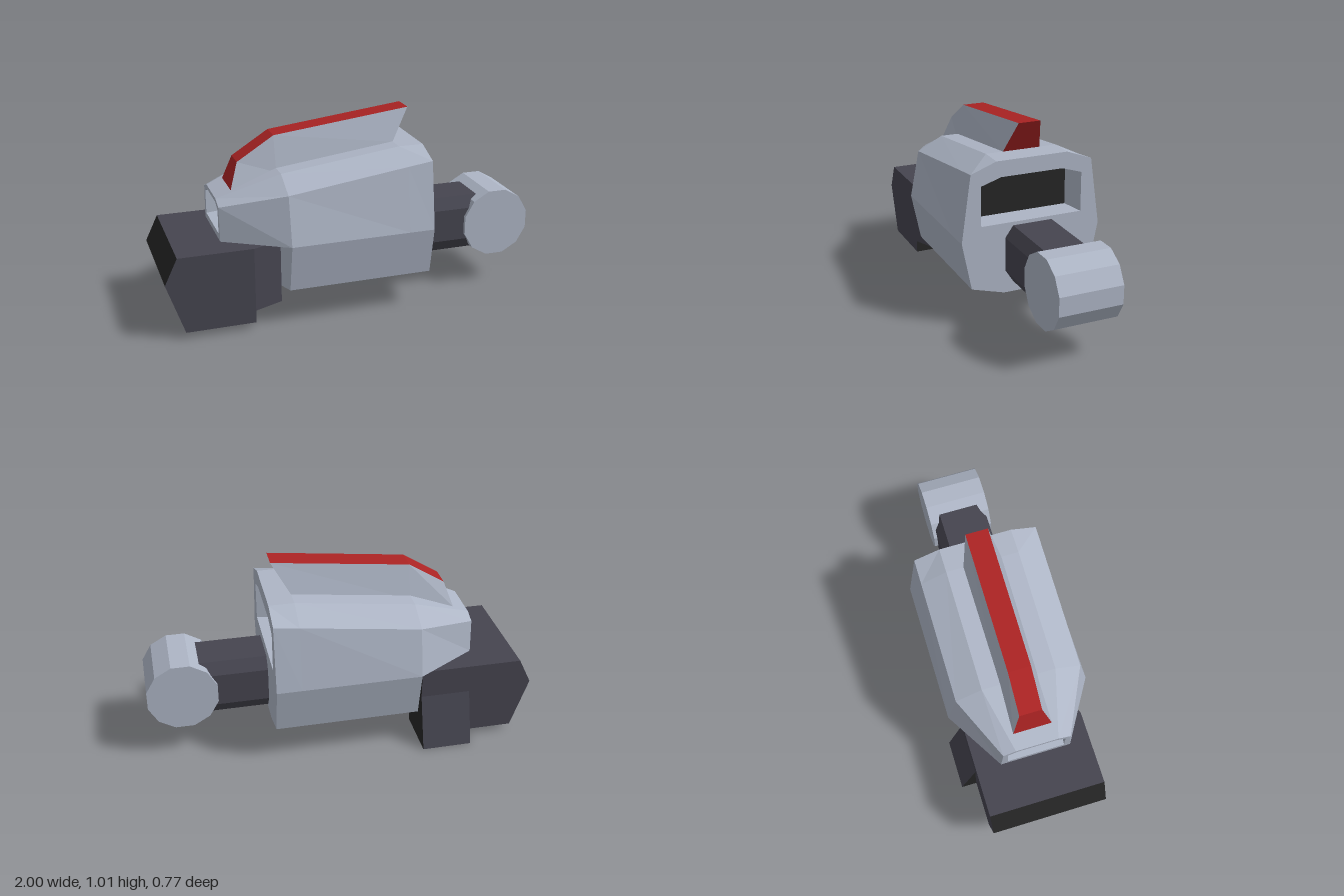
import * as THREE from 'three';

const mat = (name, color) => {
  const m = new THREE.MeshStandardMaterial({ color, side: THREE.DoubleSide });
  m.name = name;
  return m;
};

// Skin a list of rings with flat faces; slots gives a material index per ring edge,
// caps = [first, last] material index or null for an open end
function loft(name, rings, material, { slots = [], caps = [0, 0], closed = true } = {}) {
  const pos = [], geo = new THREE.BufferGeometry();
  const n = rings[0].length;
  const face = (pts, slot) => {
    const start = pos.length / 3;
    for (let i = 1; i < pts.length - 1; i++) pos.push(...pts[0], ...pts[i], ...pts[i + 1]);
    geo.addGroup(start, pos.length / 3 - start, slot);
  };
  for (let r = 0; r < rings.length - 1; r++) {
    const a = rings[r], b = rings[r + 1];
    for (let j = 0; j < (closed ? n : n - 1); j++) {
      const k = (j + 1) % n;
      face([a[j], a[k], b[k], b[j]], slots[j] ?? 0);
    }
  }
  if (caps[0] !== null) face([...rings[0]].reverse(), caps[0]);
  if (caps[1] !== null) face(rings[rings.length - 1], caps[1]);
  geo.setAttribute('position', new THREE.Float32BufferAttribute(pos, 3));
  geo.computeVertexNormals();
  const mesh = new THREE.Mesh(geo, material);
  mesh.name = name;
  return mesh;
}

// Mirror a half section of [z, y] (top to bottom) into a full ring at x
const ZC = 0.01;
const mirror = half => [...half, ...[...half].reverse().map(([z, y]) => [-z, y])];
const ringAt = (x, half) => mirror(half).map(([z, y]) => [x, y, z + ZC]);

// Flat end plate with an opening, facing +x (dir 1) or -x (dir -1)
function frame(name, x, outer, hole, dir, material) {
  const v = half => mirror(half).map(([z, y]) => new THREE.Vector2(z, y));
  const shape = new THREE.Shape(v(outer));
  shape.holes.push(new THREE.Path(v(hole)));
  const mesh = new THREE.Mesh(new THREE.ShapeGeometry(shape), material);
  mesh.rotation.y = dir * Math.PI / 2;
  mesh.position.set(x, 0, ZC);
  mesh.name = name;
  return mesh;
}

export function createModel() {
  const grey = mat('blueGrey', 0xadb5c5);
  const charcoal = mat('charcoal', 0x45444f);
  const black = mat('black', 0x262626);
  const red = mat('red', 0xaa2323);
  const g = new THREE.Group();
  g.name = 'model';

  // Main hull
  const hullHalf = (top, side) =>
    [[0.19, top], [0.325, side], [0.375, 0.45], [0.325, 0.2], [0.15, 0.15]];
  const rearHalf = hullHalf(0.85, 0.8);
  g.add(loft('hull', [
    ringAt(-0.385, hullHalf(0.77, 0.7)),
    ringAt(0.235, hullHalf(0.85, 0.783)),
    ringAt(0.365, rearHalf),
  ], grey, { caps: [null, null] }));
  g.add(loft('hullLowerFront', [
    ringAt(-0.385, rearHalf.slice(2)), ringAt(-0.38, rearHalf.slice(2)),
  ], grey, { caps: [0, null] }));

  // Tapered nose
  const noseHalf = [[0.11, 0.65], [0.175, 0.625], [0.185, 0.45]];
  g.add(loft('nose', [
    ringAt(-0.7, noseHalf),
    ringAt(-0.385, [[0.19, 0.77], [0.325, 0.7], [0.375, 0.45]]),
  ], grey, { caps: [null, null] }));

  // Tunnel through the hull, blocked by a dark core
  const front = [[0.095, 0.63], [0.15, 0.605], [0.15, 0.48]];
  const rear = [[0.165, 0.767], [0.272, 0.733], [0.272, 0.525]];
  const tunnelAt = x => {
    const t = (x + 0.7) / 1.065;
    return ringAt(x, front.map((p, i) => p.map((c, j) => c + (rear[i][j] - c) * t)));
  };
  g.add(frame('rearFrame', 0.365, rearHalf, rear, 1, grey));
  g.add(frame('noseFrame', -0.7, noseHalf, front, -1, grey));
  g.add(loft('tunnel', [tunnelAt(-0.7), tunnelAt(0.365)], grey, { caps: [null, null] }));
  g.add(loft('tunnelCore', [tunnelAt(-0.6), tunnelAt(0.22)], black));

  // Top fin: grey flanks with a red crest, front and back
  const finRing = (tx, ty, bx, by) => [
    [tx, ty, ZC + 0.058], [bx, by, ZC + 0.1], [bx, by, ZC - 0.1], [tx, ty, ZC - 0.058]];
  g.add(loft('fin', [
    finRing(-0.575, 0.81, -0.62, 0.68),
    finRing(-0.385, 0.93, -0.385, 0.75),
    finRing(0.33, 1.015, 0.235, 0.848),
  ], [grey, red], { slots: [0, 0, 0, 1], caps: [1, 1] }));

  // Arm and drum at the +x end
  const arm = [[0.105, 0.51], [0.147, 0.45], [0.147, 0.275], [0.105, 0.21]];
  g.add(loft('arm', [ringAt(0.373, arm), ringAt(0.72, arm)], charcoal));
  const drumGeo = new THREE.CylinderGeometry(0.187, 0.187, 0.33, 12).toNonIndexed();
  drumGeo.rotateY(Math.PI / 12).rotateX(Math.PI / 2);
  drumGeo.computeVertexNormals();
  const drum = new THREE.Mesh(drumGeo, grey);
  drum.name = 'drum';
  drum.position.set(0.817, 0.355, ZC);
  g.add(drum);

  // Foot block under the nose
  const profile = [[-1, 0.3], [-0.91, 0.035], [-0.555, 0.035], [-0.555, 0.435], [-0.935, 0.435]];
  g.add(loft('footBlock', [-0.305, 0.302].map(z => profile.map(([x, y]) => [x, y, z])),
    [charcoal, black], { slots: [0, 0, 1, 0, 1] }));
  const rect = (x, z1, z0, y1, y0) => [[x, y1, z1], [x, y0, z1], [x, y0, z0], [x, y1, z0]];
  g.add(loft('footBlockRear', [
    rect(-0.555, 0.302, -0.305, 0.435, 0.1), rect(-0.405, 0.238, -0.305, 0.435, 0.1),
  ], [charcoal, black], { slots: [0, 1, 0, 0], caps: [null, 1] }));

  // Splayed heel on the -z side
  g.add(loft('heel', [-0.665, -0.405].map(x =>
    [[x, 0.3, -0.1], [x, 0, -0.1], [x, 0, -0.385], [x, 0.3, -0.3]]),
  [black, charcoal], { slots: [0, 0, 1, 0] }));

  return g;
}
